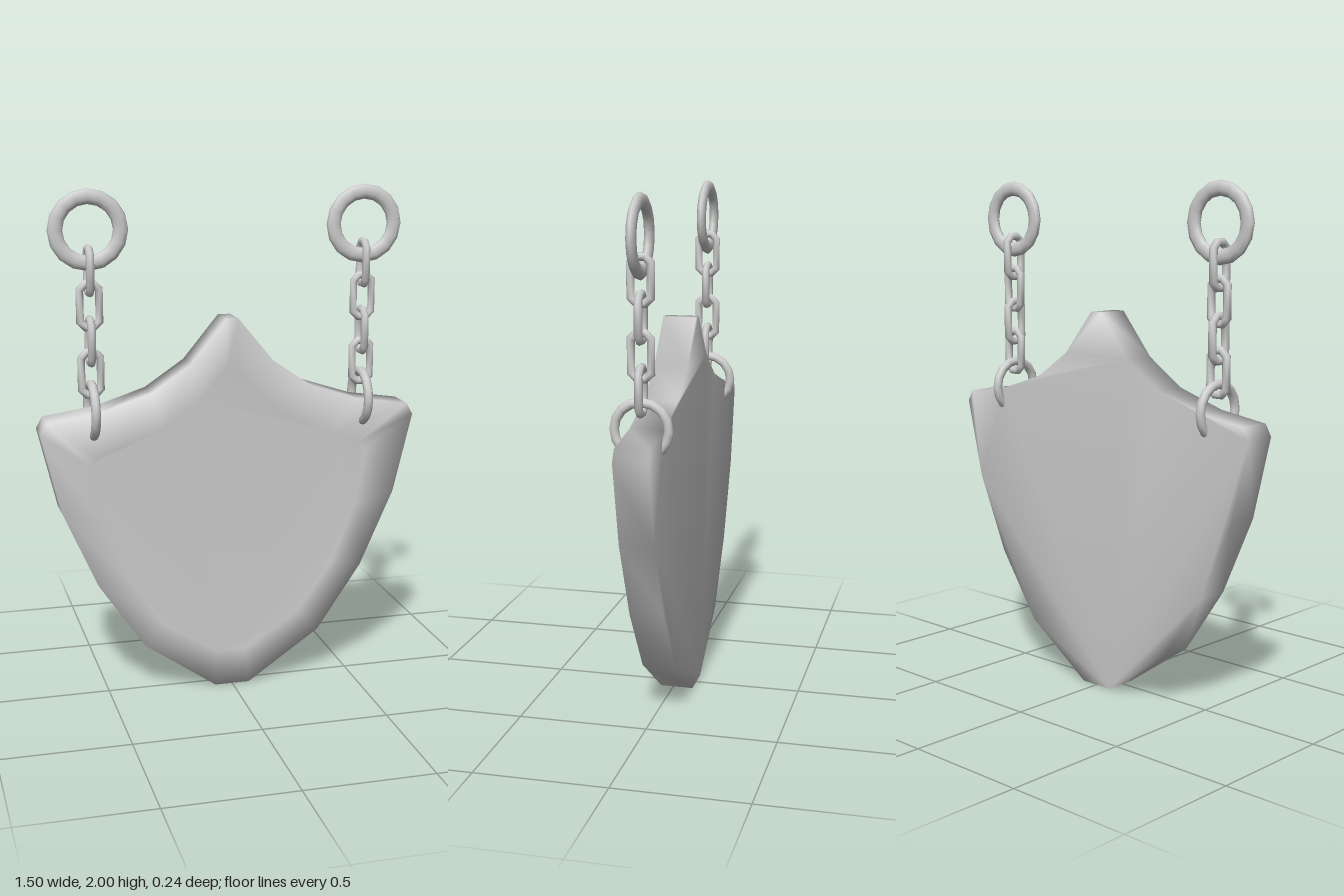
import * as THREE from 'three';

const material = new THREE.MeshStandardMaterial({ color: 0xcccccc });

function add(parent, name, geometry, x = 0, y = 0, z = 0) {
  const mesh = new THREE.Mesh(geometry, material);
  mesh.name = name;
  mesh.position.set(x, y, z);
  parent.add(mesh);
  return mesh;
}

// Counter-clockwise closed outline from the right half, listed top to bottom
const mirrorOutline = (half) => [
  ...half.map(([x, y]) => new THREE.Vector2(-x, y)),
  ...half.map(([x, y]) => new THREE.Vector2(x, y)).reverse(),
];

// Smooth slab: flat back, side wall, front rim and slightly sunken field
function shieldGeometry() {
  const outer = mirrorOutline([
    [0.025, 1.5], [0.165, 1.33], [0.32, 1.225], [0.52, 1.16], [0.725, 1.13],
    [0.75, 1.085], [0.675, 0.77], [0.54, 0.465], [0.36, 0.2], [0.07, 0],
  ]);
  const inner = mirrorOutline([
    [0.02, 1.3], [0.13, 1.18], [0.27, 1.08], [0.42, 1.02], [0.53, 0.98],
    [0.56, 0.95], [0.52, 0.72], [0.42, 0.48], [0.28, 0.28], [0.06, 0.14],
  ]);
  const layers = [[outer, -0.08], [outer, 0.05], [inner, 0.035]];
  const n = outer.length;
  const positions = layers.flatMap(([loop, z]) => loop.flatMap((p) => [p.x, p.y, z]));
  const index = [];
  for (let layer = 0; layer < 2; layer++) {
    for (let i = 0; i < n; i++) {
      const a = layer * n + i, b = layer * n + (i + 1) % n;
      index.push(a, b, b + n, a, b + n, a + n);
    }
  }
  for (const [a, b, c] of THREE.ShapeUtils.triangulateShape(outer, [])) index.push(c, b, a);
  for (const [a, b, c] of THREE.ShapeUtils.triangulateShape(inner, [])) {
    index.push(a + 2 * n, b + 2 * n, c + 2 * n);
  }
  const geometry = new THREE.BufferGeometry();
  geometry.setAttribute('position', new THREE.Float32BufferAttribute(positions, 3));
  geometry.setIndex(index);
  geometry.computeVertexNormals();
  return geometry;
}

// Eight-sided ring pulled apart into a long chain link
function linkGeometry() {
  const geometry = new THREE.TorusGeometry(0.04, 0.016, 8, 8).rotateZ(Math.PI / 8);
  const p = geometry.attributes.position;
  for (let i = 0; i < p.count; i++) p.setY(i, p.getY(i) + Math.sign(p.getY(i)) * 0.045);
  return geometry;
}

export function createModel() {
  const model = new THREE.Group();
  model.name = 'hangingShield';
  add(model, 'shield', shieldGeometry());

  const hangingRing = new THREE.TorusGeometry(0.124, 0.029, 10, 16).scale(1, 1, 0.62);
  const shieldRing = new THREE.TorusGeometry(0.101, 0.018, 10, 16).rotateY(Math.PI / 2);
  const link = linkGeometry();

  for (const [side, x] of [['left', 0.543], ['right', -0.543]]) {
    const chain = new THREE.Group();
    chain.name = side + 'Chain';
    chain.position.x = x;
    model.add(chain);
    add(chain, 'hangingRing', hangingRing, 0, 1.847);
    // Links alternate by a quarter turn
    [1.695, 1.564, 1.428, 1.304].forEach((y, i) => {
      add(chain, 'chainLink', link, 0, y).rotation.y = i % 2 ? 0 : Math.PI / 2;
    });
    add(chain, 'shieldRing', shieldRing, 0, 1.161);
  }
  return model;
}
